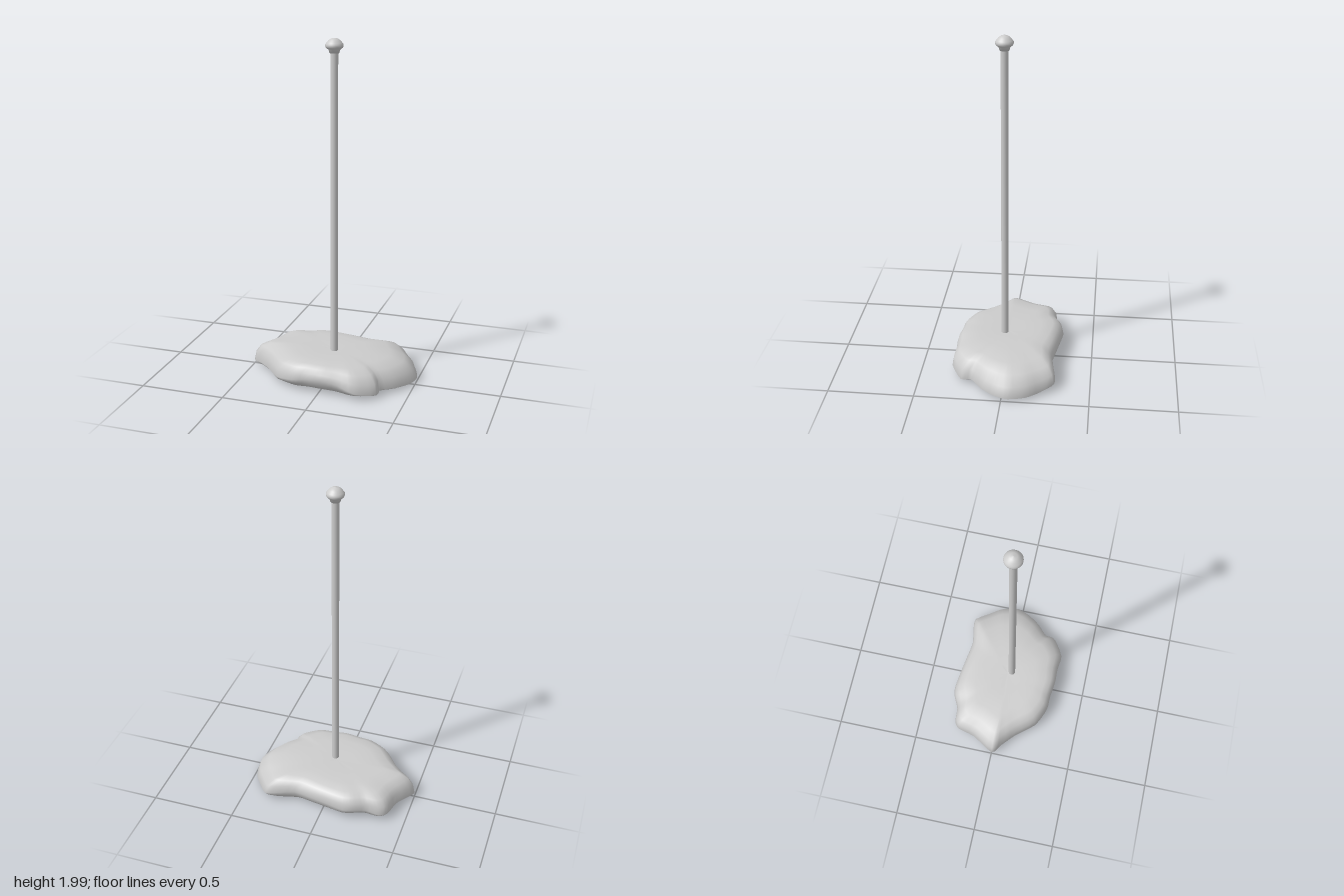
import * as THREE from 'three';

// Stone rim, from +x round through +z: x, z, height of the widest point
const RIM = [
  [0.5, -0.04, 0.025], [0.475, 0.04, 0.025], [0.42, 0.12, 0.03], [0.345, 0.19, 0.04],
  [0.335, 0.25, 0.03], [0.225, 0.315, 0.05], [0.12, 0.308, 0.085], [0.02, 0.31, 0.1],
  [-0.08, 0.297, 0.09], [-0.16, 0.293, 0.075], [-0.27, 0.24, 0.055], [-0.36, 0.13, 0.045],
  [-0.44, 0.055, 0.04], [-0.5, 0.003, 0.032], [-0.425, -0.13, 0.05], [-0.395, -0.24, 0.05],
  [-0.35, -0.27, 0.05], [-0.27, -0.275, 0.07], [-0.2, -0.308, 0.08], [-0.14, -0.32, 0.075],
  [-0.04, -0.307, 0.085], [0.08, -0.288, 0.09], [0.18, -0.274, 0.09], [0.31, -0.297, 0.065],
  [0.365, -0.292, 0.05], [0.42, -0.22, 0.03], [0.475, -0.14, 0.025],
];
// Cross-section: outward scale, blend (-1 underside, 0 rim, 1 top)
const SECTION = [
  [0.001, -1], [0.45, -1], [0.75, -0.95], [0.9, -0.75], [0.97, -0.4], [1, 0],
  [0.975, 0.42], [0.91, 0.74], [0.8, 0.92], [0.6, 1], [0.3, 1], [0.001, 0.98],
];

function stoneGeometry() {
  const curve = new THREE.CatmullRomCurve3(
    RIM.map(([x, z, y]) => new THREE.Vector3(x, y, z)), true, 'catmullrom', 0.35);
  const n = RIM.length * 3, pos = [], index = [];
  for (const [s, t] of SECTION) {
    for (let j = 0; j < n; j++) {
      const p = curve.getPoint(j / n);
      // the +x end slopes more gently than the rest
      const k = t > 0 ? s ** (1 + 1.6 * Math.max(0, p.x)) : s;
      const bottom = 0.008 + 0.008 * Math.max(0, p.z) / 0.3;
      const y = t < 0 ? p.y + (bottom - p.y) * -t : p.y + (0.173 - p.y) * t;
      pos.push(p.x * k, y, p.z * k);
    }
  }
  for (let i = 0; i < SECTION.length - 1; i++) {
    for (let j = 0; j < n; j++) {
      const a = i * n + j, b = i * n + (j + 1) % n;
      index.push(a, a + n, b, b, a + n, b + n);
    }
  }
  const g = new THREE.BufferGeometry();
  g.setAttribute('position', new THREE.Float32BufferAttribute(pos, 3));
  g.setIndex(index);
  g.computeVertexNormals();
  return g;
}

export function createModel() {
  const model = new THREE.Group();
  const grey = new THREE.MeshStandardMaterial({ color: 0xcccccc });
  grey.name = 'plain grey';
  const add = (name, geometry, x, y, z) => {
    const mesh = new THREE.Mesh(geometry, grey);
    mesh.name = name;
    mesh.position.set(x, y, z);
    model.add(mesh);
  };

  add('stoneBase', stoneGeometry(), 0, 0, 0);

  // Thin straight pole standing in the stone
  add('pole', new THREE.CylinderGeometry(0.021, 0.021, 1.8, 24), 0.015, 1.03, 0.025);

  // Knob: small collar, lip and domed cap
  const knob = [[0, 1.918], [0.027, 1.918], [0.032, 1.935], [0.046, 1.947], [0.05, 1.955],
    [0.05, 1.965], [0.044, 1.973], [0.034, 1.986], [0.02, 1.996], [0, 2]];
  add('knob', new THREE.LatheGeometry(knob.map(([r, y]) => new THREE.Vector2(r, y)), 32),
    0.015, 0, 0.025);

  return model;
}
